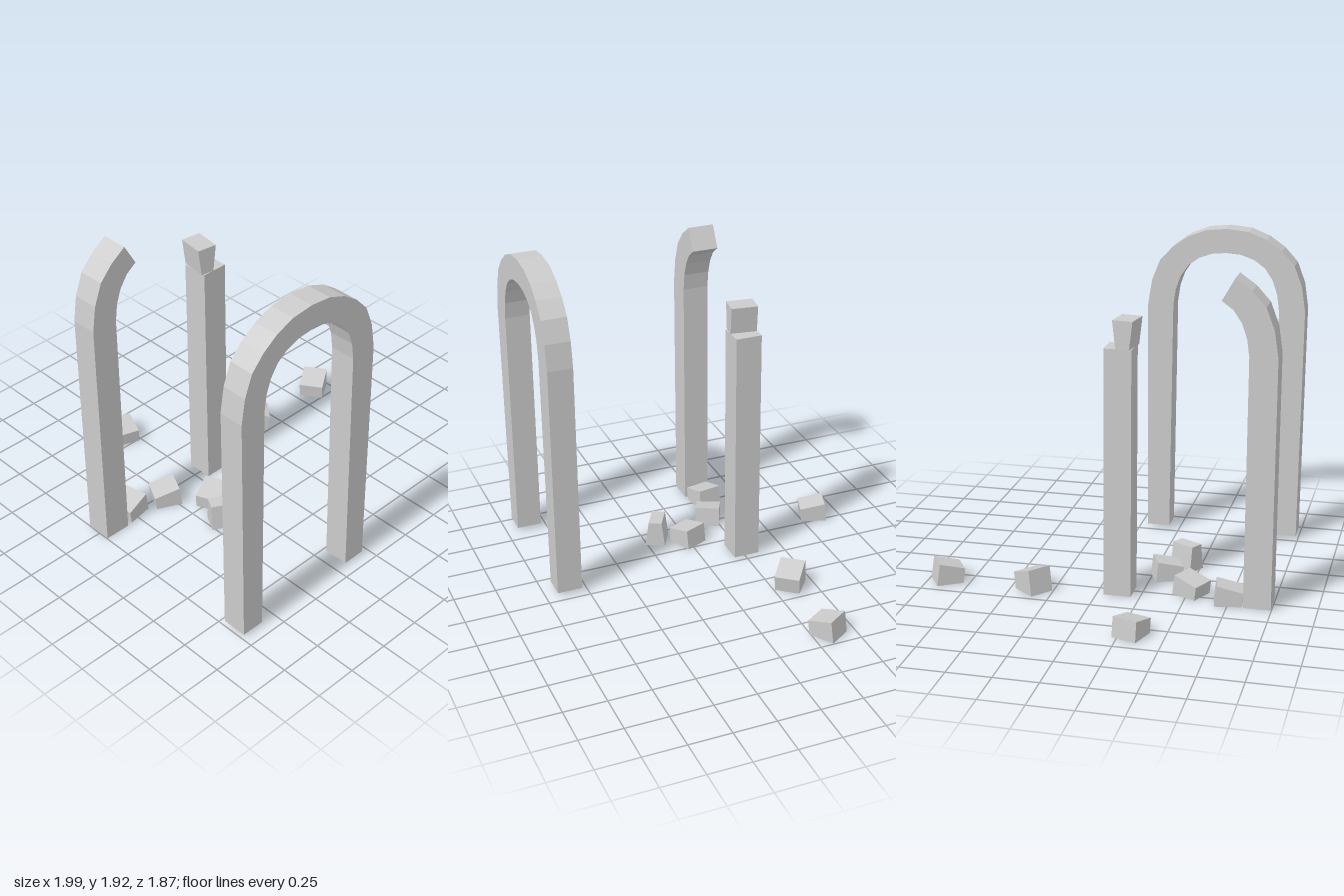
import * as THREE from 'three';

const material = new THREE.MeshStandardMaterial({ color: 0xcccccc, flatShading: true });
const CX = -0.519; // centre line of both arches
const DEPTH = 0.156;
const SPRING = 1.44; // height where the curve starts

// Half arch, spring to crown: outer and inner curve points
const OUTER = [[-0.996, SPRING], [-0.973, 1.59], [-0.925, 1.715], [-0.847, 1.8], [-0.756, 1.864], [-0.647, 1.907], [CX, 1.92]];
const INNER = [[-0.84, SPRING], [-0.826, 1.54], [-0.797, 1.623], [-0.75, 1.692], [-0.686, 1.739], [-0.604, 1.768], [CX, 1.775]];

const mirror = ([x, y]) => [2 * CX - x, y];

// Extrudes an x-y outline, centred on z = 0
function prism(points, depth = DEPTH) {
  const shape = new THREE.Shape(points.map(([x, y]) => new THREE.Vector2(x, y)));
  const geometry = new THREE.ExtrudeGeometry(shape, { depth, bevelEnabled: false });
  return geometry.translate(0, 0, -depth / 2);
}

function addMesh(parent, name, geometry, x = 0, y = 0, z = 0, turn = 0) {
  const mesh = new THREE.Mesh(geometry, material);
  mesh.name = name;
  mesh.position.set(x, y, z);
  mesh.rotation.y = turn;
  parent.add(mesh);
  return mesh;
}

// Wedge stone lying on one radial face, its thick end towards +x
function lyingStone(thick, thin, length = 0.155, depth = 0.147) {
  const lean = (thick - thin) / 2 / length;
  const h = length / 2;
  return prism([[-h, 0], [h, 0], [h - thick * lean, thick], [-h - thin * lean, thin]], depth);
}

// Wedge stone standing upright
function standingStone(bottom, top, height, depth) {
  return prism([[-bottom / 2, 0], [bottom / 2, 0], [top / 2, height], [-top / 2, height]], depth);
}

export function createModel() {
  const model = new THREE.Group();
  model.name = 'ruinedArches';

  // Whole arch at the front, legs narrowing slightly towards the foot
  const footOuter = [-0.987, 0.02];
  const footInner = [-0.85, 0.02];
  const outerRun = [footOuter, ...OUTER];
  const innerRun = [footInner, ...INNER];
  const outline = [
    ...outerRun, ...outerRun.slice(0, -1).reverse().map(mirror),
    ...innerRun.map(mirror), ...innerRun.slice(0, -1).reverse(),
  ].reverse();
  addMesh(model, 'wholeArch', prism(outline, 0.148), 0, 0, 0.858);

  // Broken arch behind: two pillars and the four remaining stones of its curve
  const broken = new THREE.Group();
  broken.name = 'brokenArch';
  broken.position.z = -0.262;
  model.add(broken);
  const pillar = new THREE.BoxGeometry(0.156, SPRING, DEPTH);
  for (const side of [-1, 1]) {
    addMesh(broken, side < 0 ? 'rightPillar' : 'leftPillar', pillar, CX + side * 0.399, SPRING / 2, 0);
  }
  for (let i = 0; i < 4; i++) {
    addMesh(broken, 'archStone', prism([OUTER[i], INNER[i], INNER[i + 1], OUTER[i + 1]]));
  }
  // Loose stone left on the other pillar
  addMesh(broken, 'looseStone', standingStone(0.08, 0.118, 0.16, 0.156), -0.158, SPRING, -0.005, -0.137);

  // Fallen stones: x, z, direction of the thick end (x, z), thick and thin heights
  const fallen = [
    [-0.315, -0.837, 0.31, -0.95, 0.117, 0.085],
    [-0.743, -0.275, 0.98, -0.18, 0.12, 0.08],
    [-0.52, -0.207, 0.9, 0.43, 0.118, 0.08],
    [-0.335, 0.002, 0.915, -0.4, 0.12, 0.085],
    [0.363, -0.363, -0.78, -0.63, 0.148, 0.098],
    [0.89, -0.347, 0.845, -0.535, 0.13, 0.088],
  ];
  for (const [x, z, dx, dz, thick, thin] of fallen) {
    addMesh(model, 'fallenStone', lyingStone(thick, thin), x, 0, z, Math.atan2(-dz, dx));
  }
  addMesh(model, 'fallenStandingStone', standingStone(0.118, 0.08, 0.155, 0.148), -0.422, 0, 0.172, 1.06);

  return model;
}
